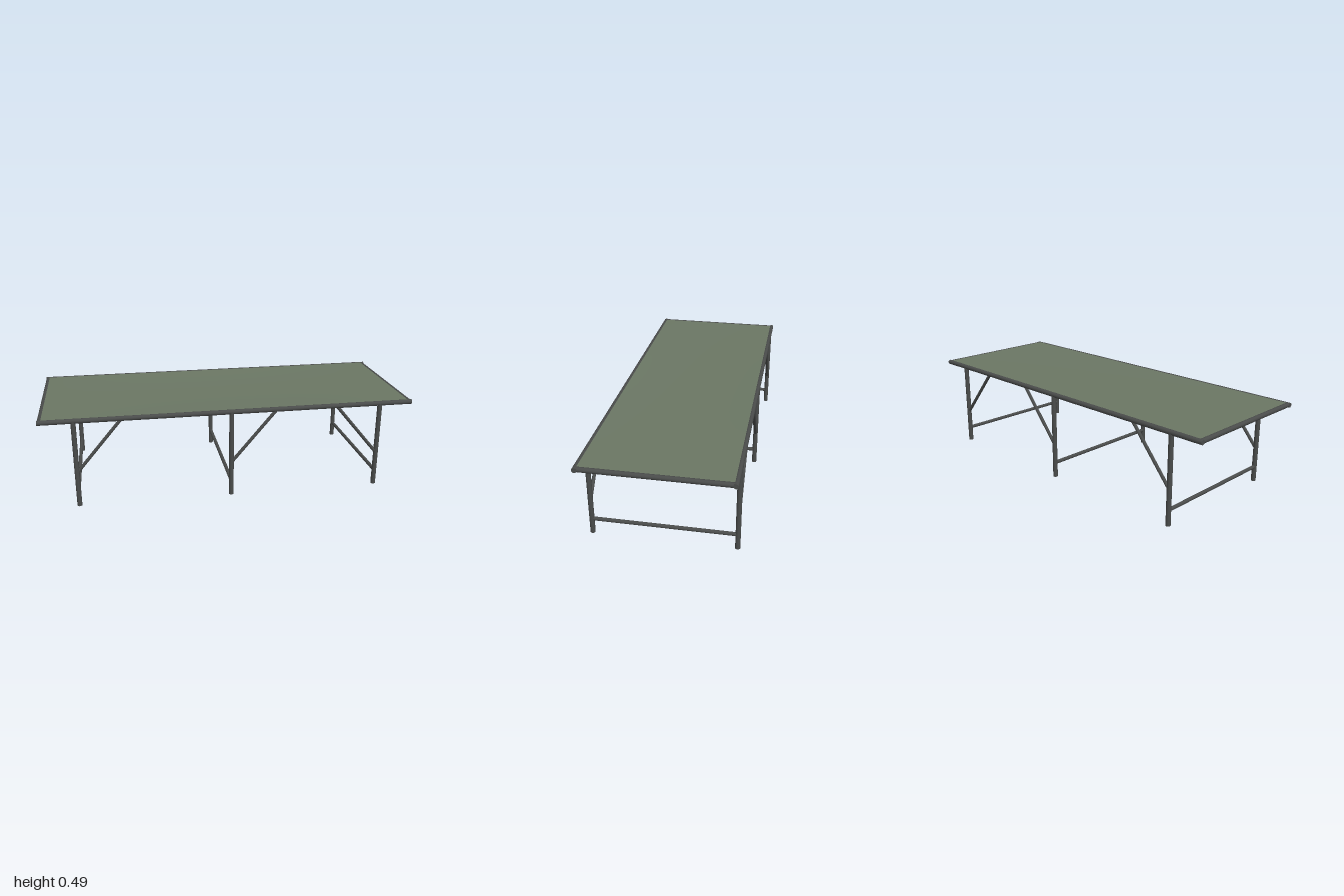
import * as THREE from 'three';

const HALF_Z = 0.37, RAIL_Y = 0.48, TUBE_R = 0.013;

export function createModel() {
  const group = new THREE.Group();
  const steel = new THREE.MeshStandardMaterial({ color: 0x4a4c4b });
  steel.name = 'dark steel';
  const canvas = new THREE.MeshStandardMaterial({ color: 0x6b7764 });
  canvas.name = 'olive canvas';

  // Straight round tube between two points
  function tube(name, a, b, radius) {
    const from = new THREE.Vector3(...a), to = new THREE.Vector3(...b);
    const dir = to.clone().sub(from);
    const mesh = new THREE.Mesh(new THREE.CylinderGeometry(radius, radius, dir.length(), 12), steel);
    mesh.name = name;
    mesh.position.copy(from).add(to).multiplyScalar(0.5);
    mesh.quaternion.setFromUnitVectors(new THREE.Vector3(0, 1, 0), dir.normalize());
    group.add(mesh);
  }

  // Rectangular bed frame
  for (const s of [-1, 1]) {
    tube('sideRail', [-1, RAIL_Y, s * HALF_Z], [1, RAIL_Y, s * HALF_Z], TUBE_R);
    tube('endRail', [s * 0.987, RAIL_Y, -HALF_Z], [s * 0.987, RAIL_Y, HALF_Z], TUBE_R);
  }

  // Three leg pairs, each with a crossbar and diagonal braces
  for (const [x, lean] of [[-0.82, 1], [0, 1], [0.82, -1]]) {
    for (const s of [-1, 1]) {
      const z = s * HALF_Z;
      tube('leg', [x, 0, z], [x, RAIL_Y, z], TUBE_R);
      tube('brace', [x, 0.19, z], [x + lean * 0.245, RAIL_Y, z], 0.009);
    }
    tube('crossbar', [x, 0.083, -HALF_Z], [x, 0.083, HALF_Z], 0.01);
  }

  // Canvas sheet with a slight sag, closed top and bottom
  const sheet = new THREE.BoxGeometry(1.974, 0.004, 2 * HALF_Z, 24, 1, 12);
  const p = sheet.attributes.position;
  for (let i = 0; i < p.count; i++) {
    const u = p.getX(i) / 0.987, v = p.getZ(i) / HALF_Z;
    p.setY(i, p.getY(i) + 0.489 - 0.008 * (1 - u * u) * (1 - v * v));
  }
  sheet.computeVertexNormals();
  const bed = new THREE.Mesh(sheet, canvas);
  bed.name = 'canvasSheet';
  group.add(bed);

  return group;
}
